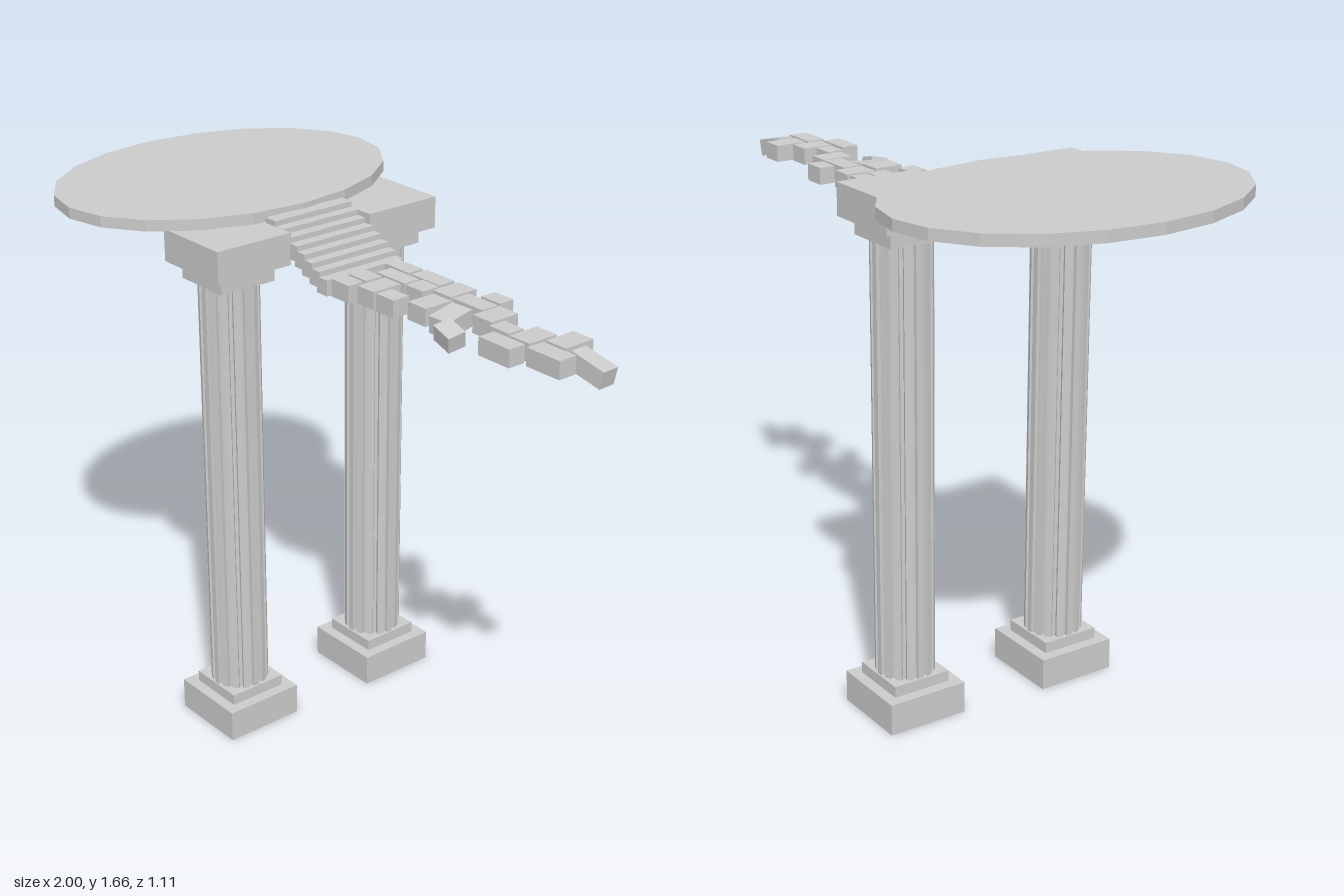
import * as THREE from 'three';

const mat = new THREE.MeshStandardMaterial({ color: 0xcccccc, flatShading: true });

function add(parent, name, geo, x, y, z) {
  const m = new THREE.Mesh(geo, mat);
  m.name = name;
  m.position.set(x, y, z);
  parent.add(m);
  return m;
}

// Box given by its centre in plan and its bottom and top heights
function slab(parent, name, x, z, w, d, y0, y1) {
  return add(parent, name, new THREE.BoxGeometry(w, y1 - y0, d), x, (y0 + y1) / 2, z);
}

// Shaft outline: ridges alternating with square-cut flutes
function flutedShaft(radius, depth, flutes, height) {
  const pts = [];
  const step = (Math.PI * 2) / flutes;
  for (let i = 0; i < flutes; i++) {
    for (const [f, r] of [[-0.28, radius], [0.28, radius], [0.34, radius - depth], [0.66, radius - depth]]) {
      const a = (i + f) * step;
      pts.push(new THREE.Vector2(Math.cos(a) * r, Math.sin(a) * r));
    }
  }
  const geo = new THREE.ExtrudeGeometry(new THREE.Shape(pts), { depth: height, bevelEnabled: false });
  return geo.rotateX(-Math.PI / 2);
}

function makeColumn(x, z) {
  const g = new THREE.Group();
  g.name = 'column';
  slab(g, 'plinth', 0, 0, 0.26, 0.26, 0, 0.1);
  slab(g, 'baseStep', 0, 0, 0.19, 0.19, 0.1, 0.135);
  add(g, 'shaft', flutedShaft(0.091, 0.011, 16, 1.345), 0, 0.135, 0);
  slab(g, 'neckStep', 0, 0, 0.19, 0.19, 1.48, 1.53);
  slab(g, 'capital', 0, 0, 0.26, 0.26, 1.53, 1.628);
  g.position.set(x, 0, z);
  return g;
}

export function createModel() {
  const model = new THREE.Group();
  model.name = 'ruinedWalkway';

  model.add(makeColumn(-0.215, 0.26), makeColumn(-0.195, -0.28));

  // Oval platform
  const disc = new THREE.CylinderGeometry(1, 1, 0.034, 20);
  disc.scale(0.405, 1, 0.555);
  add(model, 'platform', disc, -0.595, 1.645, -0.005);

  // Stairs going down from the platform
  const stairs = new THREE.Group();
  stairs.name = 'stairs';
  for (let i = 0; i < 8; i++) {
    const top = 1.645 - i * 0.0163;
    slab(stairs, 'step', -0.175 + i * 0.0335, -0.01, 0.045, 0.287, top - 0.048, top);
  }
  model.add(stairs);

  // Broken path stones: x from, x to, z from, z to
  const path = new THREE.Group();
  path.name = 'brokenPath';
  const stones = [
    [0.08, 0.185, -0.137, -0.083], [0.197, 0.316, -0.14, -0.083],
    [0.12, 0.242, -0.072, -0.018], [0.25, 0.322, -0.077, -0.014],
    [0.08, 0.157, -0.007, 0.052], [0.17, 0.238, -0.007, 0.094],
    [0.25, 0.322, 0.036, 0.094], [0.08, 0.157, 0.062, 0.116],
    [0.33, 0.404, -0.142, -0.045], [0.452, 0.526, -0.167, -0.115],
    [0.414, 0.53, -0.104, -0.045], [0.352, 0.425, -0.028, 0.067],
    [0.537, 0.61, -0.103, -0.003], [0.623, 0.697, -0.038, 0.018],
    [0.66, 0.777, 0.036, 0.092], [0.708, 0.782, -0.076, 0.025],
    [0.793, 0.866, -0.128, -0.024], [0.795, 0.915, -0.013, 0.047],
  ];
  for (const [x0, x1, z0, z1] of stones) {
    slab(path, 'stone', (x0 + x1) / 2, (z0 + z1) / 2, x1 - x0, z1 - z0, 1.479, 1.532);
  }

  // Loose stones falling away: centre, size, rotation
  const loose = [
    [[0.47, 1.497, 0.015], [0.07, 0.053, 0.1], [0.12, 0.13, -0.06]],
    [[0.536, 1.492, 0.08], [0.073, 0.05, 0.055], [0.2, -0.16, -0.2]],
    [[0.937, 1.495, -0.052], [0.115, 0.053, 0.055], [0, 0.04, -0.22]],
  ];
  for (const [p, s, r] of loose) {
    add(path, 'looseStone', new THREE.BoxGeometry(...s), ...p).rotation.set(...r);
  }
  model.add(path);

  return model;
}
